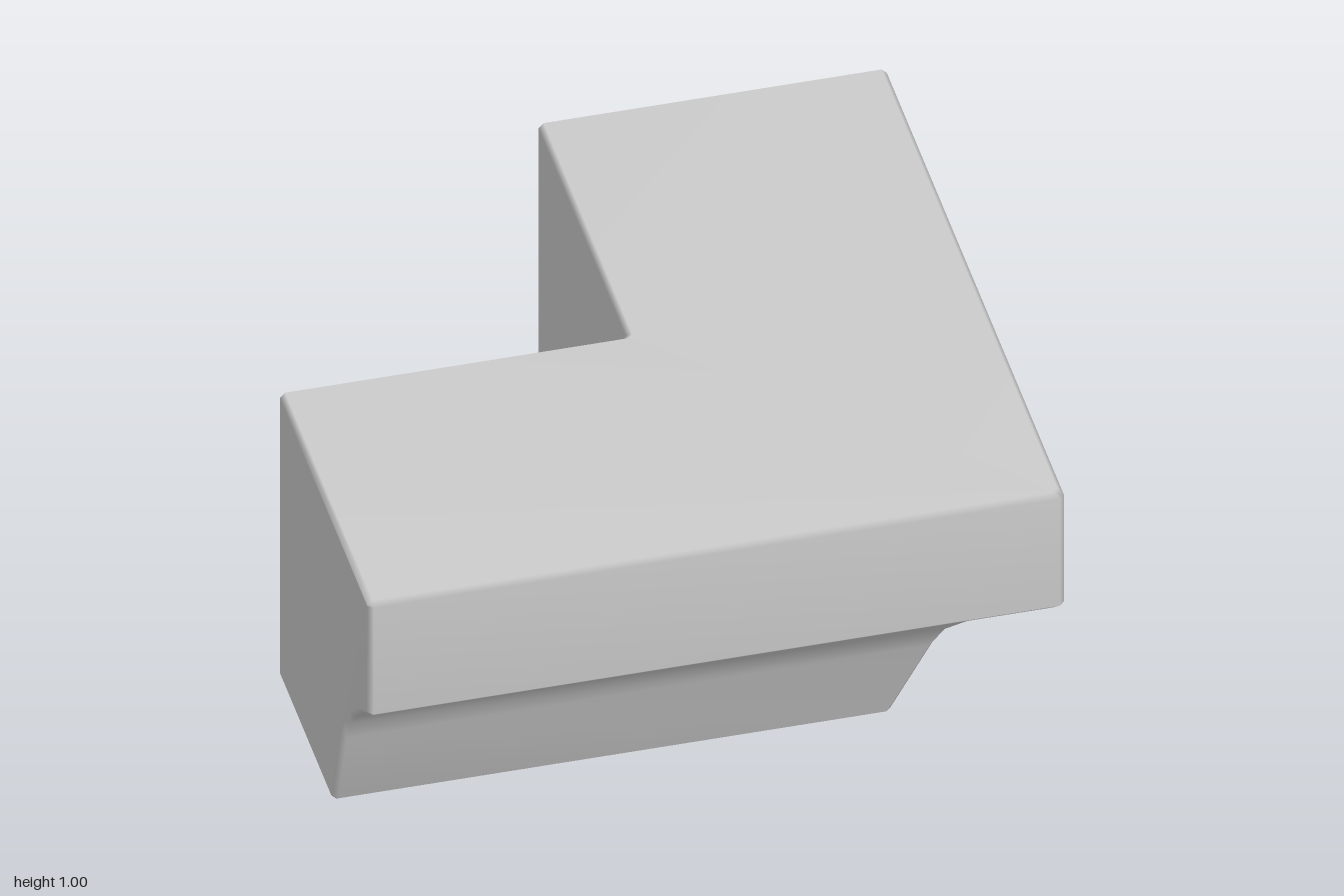
import * as THREE from 'three';

const B = 0.015; // bevel width

// Half-width cross-section (distance from the inner wall, height), counter-clockwise
const PROFILE = [
  [0, B], [B, 0],                                             // inner foot
  [0.6 - B, 0], [0.604, B],                                   // outer foot
  [0.7, 0.3], [0.737, 0.38], [0.8, 0.45], [0.885, 0.53],      // cove
  [0.985, 0.595], [1, 0.61],                                  // underside of the band
  [1, 1 - B], [1 - B, 1],                                     // outer top edge
  [B, 1], [0, 1 - B],                                         // inner top edge
].map(([d, y]) => new THREE.Vector2(d, y));

// Profile drawn in by the bevel width, used on the two end faces
const CAP = PROFILE.map((p, i) => {
  const n = PROFILE.length;
  const t = PROFILE[(i + 1) % n].clone().sub(PROFILE[(i + n - 1) % n]).normalize();
  return new THREE.Vector2(p.x - t.y * B, p.y + t.x * B);
});

function corniceGeometry() {
  // Cross-sections along the L: end, arm, mitred corner with a small chamfer, arm, end
  const stations = [
    [CAP, d => [-1, d]],
    [PROFILE, d => [-1 + B, d]],
    [PROFILE, d => [d - B, d]],
    [PROFILE, d => [d, d - B]],
    [PROFILE, d => [d, -1 + B]],
    [CAP, d => [d, -1]],
  ];
  const n = PROFILE.length;
  const positions = [];
  const index = [];
  for (const [points, place] of stations) {
    for (const p of points) {
      const [x, z] = place(p.x);
      positions.push(x, p.y, z);
    }
  }
  for (let s = 0; s < stations.length - 1; s++) {
    for (let i = 0; i < n; i++) {
      const j = (i + 1) % n;
      const a = s * n + i, b = a + n, c = s * n + j, d = c + n;
      index.push(a, b, c, b, d, c);
    }
  }
  // End faces
  const last = (stations.length - 1) * n;
  for (const [a, b, c] of THREE.ShapeUtils.triangulateShape(CAP, [])) {
    index.push(a, b, c, last + a, last + c, last + b);
  }
  const geometry = new THREE.BufferGeometry();
  geometry.setAttribute('position', new THREE.Float32BufferAttribute(positions, 3));
  geometry.setIndex(index);
  geometry.computeVertexNormals();
  return geometry;
}

export function createModel() {
  const group = new THREE.Group();
  group.name = 'cornerCornice';
  const block = new THREE.Mesh(
    corniceGeometry(),
    new THREE.MeshStandardMaterial({ color: 0xcccccc })
  );
  block.name = 'corniceBlock';
  group.add(block);
  return group;
}
